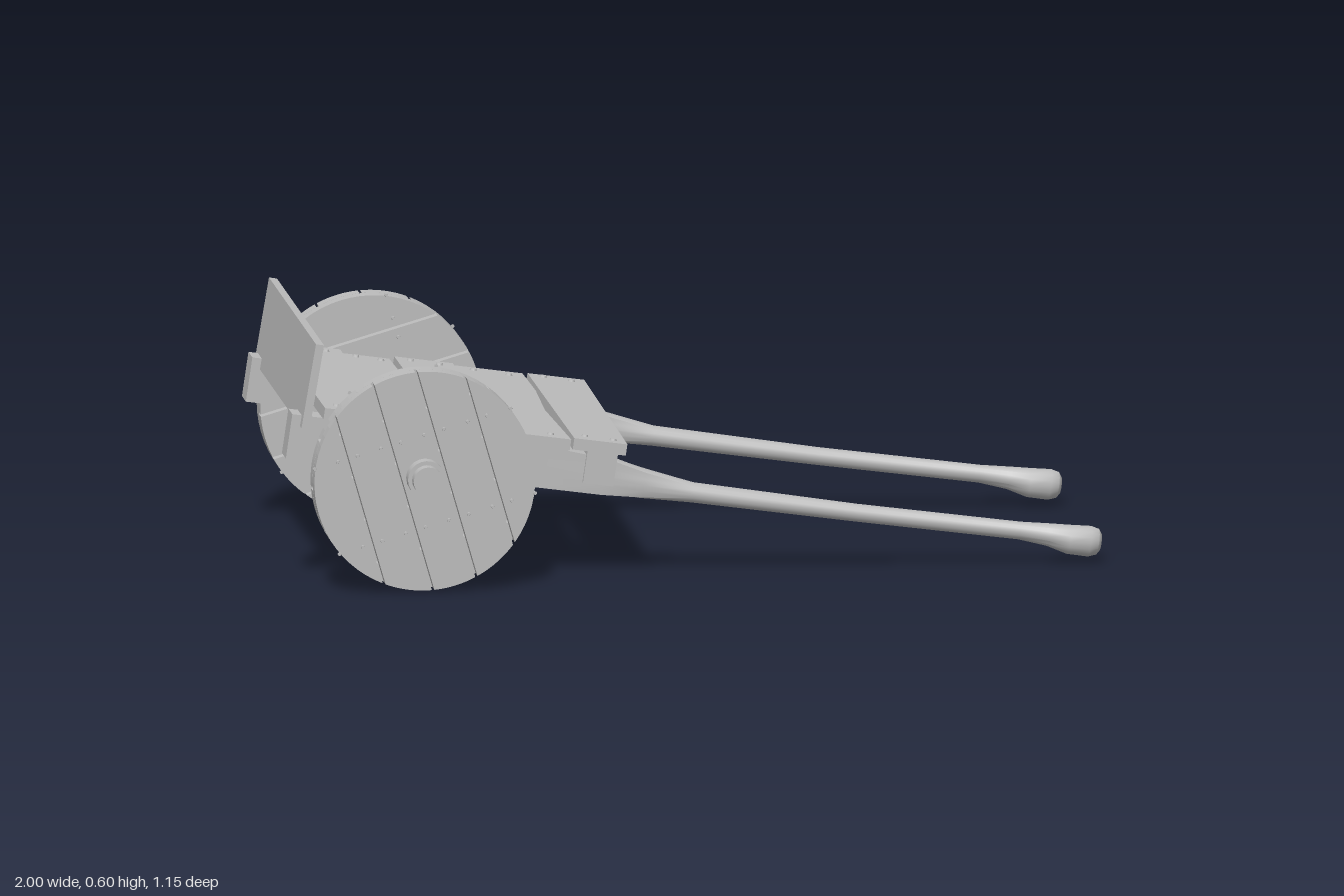
import * as THREE from 'three';
import { toCreasedNormals } from 'three/addons/utils/BufferGeometryUtils.js';

const wood = new THREE.MeshStandardMaterial({ color: 0xbcbcbc });
wood.name = 'grey wood';

const SLOPE = -0.145; // tilt of the bed and shafts

function add(parent, name, geometry, x = 0, y = 0, z = 0, rz = 0) {
  const mesh = new THREE.Mesh(geometry, wood);
  mesh.name = name;
  mesh.position.set(x, y, z);
  mesh.rotation.z = rz;
  parent.add(mesh);
  return mesh;
}

// Shaft: squared beam under the bed, tapering into a round pole with a knob
function shaftGeometry() {
  // x, y, half height, half width, squareness
  const stations = [
    [-0.99, 0.37, 0.055, 0.035, 1], [-0.4, 0.283, 0.053, 0.035, 1],
    [-0.22, 0.249, 0.045, 0.035, 1], [-0.12, 0.224, 0.036, 0.032, 0.5],
    [0, 0.198, 0.025, 0.027, 0], [0.4, 0.137, 0.022, 0.023, 0],
    [0.8, 0.082, 0.022, 0.021, 0], [0.87, 0.07, 0.028, 0.029, 0],
    [0.92, 0.057, 0.036, 0.036, 0.1], [0.97, 0.051, 0.038, 0.036, 0.1],
    [0.99, 0.049, 0.032, 0.03, 0], [0.998, 0.048, 0.02, 0.018, 0],
  ];
  const n = 16, pos = [], idx = [];
  const nx = Math.sin(-SLOPE), ny = Math.cos(SLOPE);
  for (const [x, y, h, w, sq] of stations) {
    for (let i = 0; i < n; i++) {
      const a = (i / n) * Math.PI * 2, c = Math.cos(a), s = Math.sin(a);
      const k = 1 + sq * (1 / Math.max(Math.abs(c), Math.abs(s)) - 1);
      const v = c * h * k;
      pos.push(x + nx * v, y + ny * v, s * w * k);
    }
  }
  const last = stations.length - 1;
  for (let j = 0; j < last; j++) {
    for (let i = 0; i < n; i++) {
      const a = j * n + i, b = j * n + (i + 1) % n;
      idx.push(a, a + n, b, b, a + n, b + n);
    }
  }
  // end caps
  for (let i = 1; i < n - 1; i++) {
    idx.push(0, i, i + 1, last * n, last * n + i + 1, last * n + i);
  }
  // wind every face outward
  for (let t = 0; t < idx.length; t += 3) [idx[t + 1], idx[t + 2]] = [idx[t + 2], idx[t + 1]];
  const g = new THREE.BufferGeometry();
  g.setAttribute('position', new THREE.Float32BufferAttribute(pos, 3));
  g.setIndex(fixWinding(idx, pos));
  return toCreasedNormals(g, 0.7);
}

// Turns the whole skin inside out if its signed volume is negative
function fixWinding(idx, pos) {
  const p = (i) => new THREE.Vector3(pos[i * 3], pos[i * 3 + 1], pos[i * 3 + 2]);
  let volume = 0;
  for (let t = 0; t < idx.length; t += 3) volume += p(idx[t]).dot(p(idx[t + 1]).cross(p(idx[t + 2])));
  return volume < 0 ? idx.reverse() : idx;
}

// One wheel board: the slice of a disc between two parallel cuts
function discSlice(radius, u0, u1, depth) {
  const t0 = Math.acos(-u0 / radius), t1 = Math.acos(-u1 / radius), steps = 10;
  const top = [], bottom = [];
  for (let i = 0; i <= steps; i++) {
    const t = t0 + ((t1 - t0) * i) / steps;
    const u = -radius * Math.cos(t), v = radius * Math.sin(t);
    top.push(new THREE.Vector2(u, v));
    if (v > 1e-4) bottom.unshift(new THREE.Vector2(u, -v));
  }
  return new THREE.ExtrudeGeometry(new THREE.Shape([...top, ...bottom]), { depth, bevelEnabled: false });
}

// Wheel: two crossed layers of boards, nails and a stepped hub; outer face at +z
function makeWheel(tilt) {
  const wheel = new THREE.Group();
  const R = 0.27, gap = 0.003, cuts = [-R, -0.165, -0.055, 0.055, 0.165, R];
  [-0.035, 0].forEach((z, layer) => {
    const boards = new THREE.Group();
    boards.name = layer ? 'outerBoards' : 'innerBoards';
    boards.rotation.z = tilt + (layer ? 0 : Math.PI / 2);
    for (let i = 0; i < 5; i++) {
      const u0 = cuts[i] + (i > 0 ? gap : 0), u1 = cuts[i + 1] - (i < 4 ? gap : 0);
      add(boards, 'wheelBoard', discSlice(R, u0, u1, 0.034), 0, 0, z);
      const mid = (u0 + u1) / 2;
      for (const du of [-0.03, 0.03]) for (const v of [-0.11, 0.11]) {
        const nail = add(boards, 'wheelNail', new THREE.CylinderGeometry(0.004, 0.005, 0.004, 6),
          mid + du, v, layer ? 0.036 : -0.037);
        nail.rotation.x = layer ? Math.PI / 2 : -Math.PI / 2;
      }
    }
    wheel.add(boards);
  });
  const hub = (name, r, length, z) => {
    add(wheel, name, new THREE.CylinderGeometry(r, r, length, 20), 0, 0.01, z).rotation.x = Math.PI / 2;
  };
  hub('innerHub', 0.046, 0.03, -0.045);
  hub('axleEnd', 0.036, 0.06, 0.066);
  hub('hubCollar', 0.046, 0.034, 0.05);
  return wheel;
}

// Bed plank in the bed's own frame, with slightly skewed long edges and an optional split
function plankGeometry(x0, x1, zHalf, skew, split) {
  const s = new THREE.Shape();
  s.moveTo(x0, -zHalf);
  s.lineTo(x1 + skew, -zHalf);
  if (split) {
    s.lineTo(x1, -0.2);
    s.lineTo(x1 - split, 0.05);
    s.lineTo(x1, 0.34);
  }
  s.lineTo(x1 - skew, zHalf);
  s.lineTo(x0 + skew, zHalf);
  return new THREE.ExtrudeGeometry(s, { depth: 0.028, bevelEnabled: false }).rotateX(Math.PI / 2);
}

export function createModel() {
  const cart = new THREE.Group();
  cart.name = 'handcart';

  // Pair of pulling shafts
  const shaft = shaftGeometry();
  for (const z of [-0.355, 0.355]) add(cart, z > 0 ? 'frontShaft' : 'backShaft', shaft, 0, 0, z);

  // Bed planks and their nails
  const bed = new THREE.Group();
  bed.name = 'bed';
  bed.position.set(-0.4, 0.364, 0);
  bed.rotation.z = SLOPE;
  cart.add(bed);
  const planks = [
    // start x, end x, half length, skew, split, lift
    [-0.915, -0.763, 0.412, 0.004, 0, 0.004], [-0.755, -0.634, 0.404, -0.004, 0.008, -0.003],
    [-0.626, -0.486, 0.41, 0.005, 0, 0.003], [-0.478, -0.305, 0.412, -0.003, 0.012, -0.002],
    [-0.297, -0.16, 0.406, 0.003, 0, 0.001],
  ];
  for (const [x0, x1, half, skew, split, lift] of planks) {
    add(bed, 'bedPlank', plankGeometry(x0 + 0.4, x1 + 0.4, half, skew, split), 0, lift, 0);
    for (const z of [-0.37, 0.37]) for (const f of [0.25, 0.75]) {
      add(bed, 'plankNail', new THREE.CylinderGeometry(0.007, 0.009, 0.006, 8),
        x0 + 0.4 + (x1 - x0) * f, lift + 0.002, z + (f - 0.5) * 0.02);
    }
  }

  // Tailboard leaning at the back of the bed
  add(cart, 'tailboard', new THREE.BoxGeometry(0.02, 0.21, 0.835), -0.936, 0.496, 0, -0.17);

  // Front cross bar and axle beam
  add(cart, 'crossBar', new THREE.BoxGeometry(0.075, 0.085, 0.8), -0.23, 0.274, 0, SLOPE);
  add(cart, 'axleBeam', new THREE.BoxGeometry(0.085, 0.085, 0.88), -0.675, 0.283, 0, SLOPE);

  // Wheels
  for (const side of [1, -1]) {
    const wheel = makeWheel(side * 0.28);
    wheel.name = side > 0 ? 'frontWheel' : 'backWheel';
    wheel.position.set(-0.675, 0.275, side * 0.479);
    if (side < 0) wheel.rotation.y = Math.PI;
    cart.add(wheel);
  }

  return cart;
}
